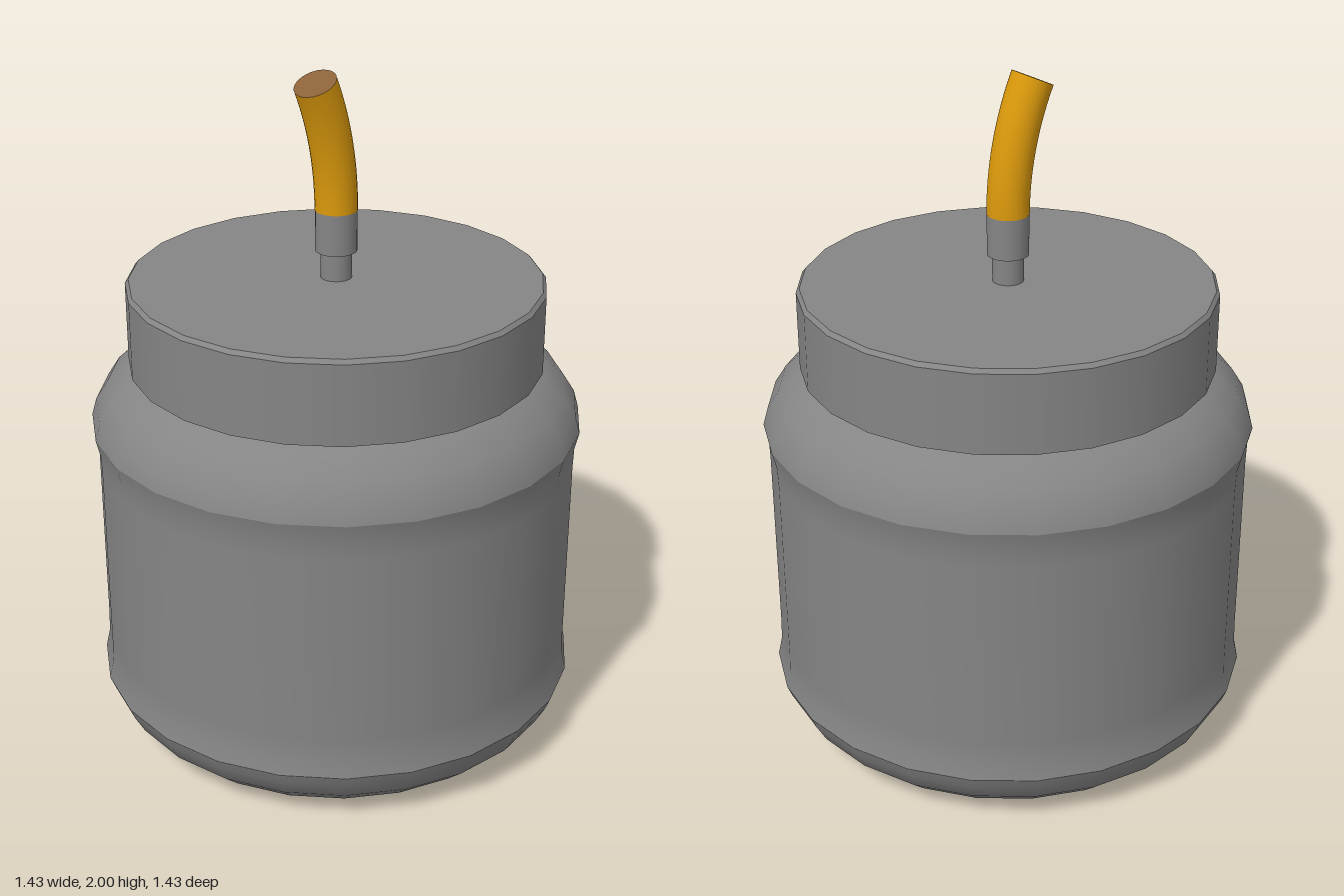
import * as THREE from 'three';

export function createModel() {
  const model = new THREE.Group();
  const grey = new THREE.MeshStandardMaterial({ color: 0x858585 });
  grey.name = 'greyMetal';
  const amber = new THREE.MeshStandardMaterial({ color: 0xdc9a0c });
  amber.name = 'amberFuse';
  const brown = new THREE.MeshStandardMaterial({ color: 0x8c6239 });
  brown.name = 'brownFuseEnd';

  const add = (name, geometry, material, parent = model) => {
    const mesh = new THREE.Mesh(geometry, material);
    mesh.name = name;
    parent.add(mesh);
    return mesh;
  };
  // Revolved section; separate sections keep the creases between them sharp
  const lathe = (name, points, parent, sides = 24) =>
    add(name, new THREE.LatheGeometry(points.map(([r, y]) => new THREE.Vector2(r, y)), sides), grey, parent);

  // Canister with rounded base, slightly pinched wall and rounded shoulder
  const body = new THREE.Group();
  body.name = 'body';
  model.add(body);
  lathe('bottom', [[0, 0], [0.5, 0]], body);
  lathe('roundedBase', [[0.5, 0], [0.54, 0.01], [0.61, 0.04], [0.67, 0.095], [0.7, 0.15], [0.714, 0.185]], body);
  lathe('wall', [[0.714, 0.185], [0.702, 0.24], [0.7, 0.3], [0.7, 0.87], [0.702, 0.93], [0.714, 0.98]], body);
  lathe('shoulder', [[0.714, 0.98], [0.7, 1.03], [0.665, 1.085], [0.615, 1.13], [0.56, 1.16], [0.5, 1.17]], body);

  // Lid with a narrow bevel
  const lid = new THREE.Group();
  lid.name = 'lid';
  model.add(lid);
  lathe('lidUnderside', [[0, 1.155], [0.6, 1.155]], lid);
  lathe('lidRim', [[0.6, 1.155], [0.6, 1.388]], lid);
  lathe('lidBevel', [[0.6, 1.388], [0.59, 1.4]], lid);
  lathe('lidTop', [[0.59, 1.4], [0, 1.4]], lid);

  // Stem and collar holding the fuse
  add('stem', new THREE.CylinderGeometry(0.045, 0.045, 0.1, 24), grey).position.y = 1.44;
  add('collar', new THREE.CylinderGeometry(0.06, 0.06, 0.12, 24), grey).position.y = 1.54;

  // Fuse bending towards -x along a circular arc
  const bend = THREE.MathUtils.degToRad(25);
  const radius = 0.887;
  class FuseCurve extends THREE.Curve {
    getPoint(t, target = new THREE.Vector3()) {
      const a = t * bend;
      return target.set(radius * (Math.cos(a) - 1), 1.6 + radius * Math.sin(a), 0);
    }
  }
  const curve = new FuseCurve();
  add('fuse', new THREE.TubeGeometry(curve, 12, 0.061, 24), amber);
  const end = add('fuseEnd', new THREE.CircleGeometry(0.061, 24), brown);
  end.position.copy(curve.getPoint(1));
  end.quaternion.setFromUnitVectors(
    new THREE.Vector3(0, 0, 1), new THREE.Vector3(-Math.sin(bend), Math.cos(bend), 0));

  return model;
}
